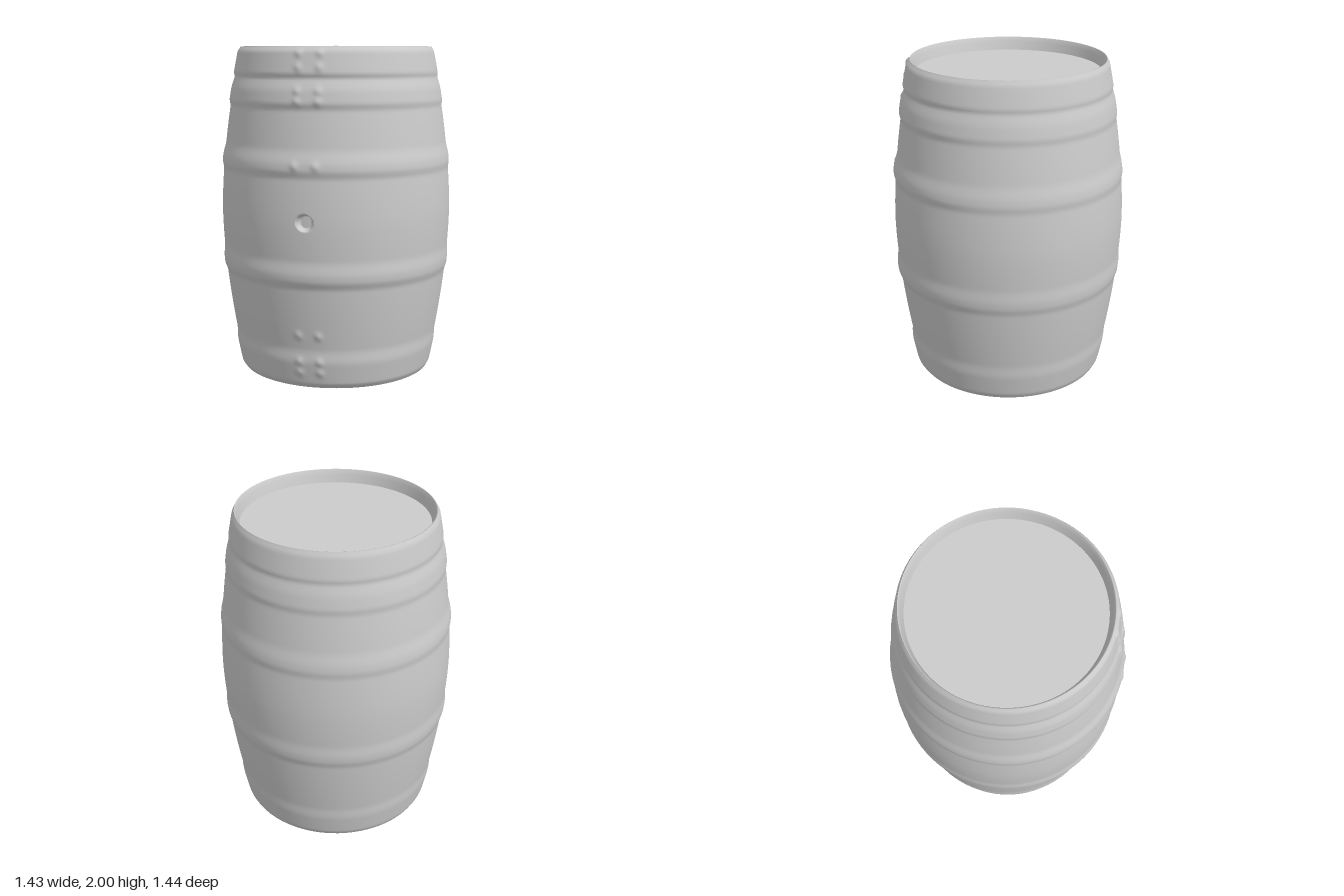
import * as THREE from 'three';
import { mergeVertices } from 'three/addons/utils/BufferGeometryUtils.js';

const SEGMENTS = 160;
const smooth = THREE.MathUtils.smoothstep;

// Stave bulge: narrow at both ends, widest at mid height
const bulge = (y) => 0.59 + 0.125 * (1 - Math.pow(Math.abs(y - 1), 1.7));

// Hoops: bottom edge, top edge, softness of each edge
const hoops = [
  [-0.2, 0.2, 0.01, 0.05],
  [0.64, 0.74, 0.03, 0.05],
  [1.28, 1.38, 0.03, 0.05],
  [1.66, 1.79, 0.025, 0.05],
  [1.83, 2.2, 0.02, 0.01],
];
const hoopHeight = (y) => hoops.reduce((h, [lo, hi, a, b]) =>
  Math.max(h, smooth(y, lo - a, lo + a) * (1 - smooth(y, hi - b, hi + b))), 0);

// Rivets on the front of the hoops
const rivets = [];
for (const y of [0.1, 0.17, 0.33, 1.33, 1.69, 1.75, 1.88, 1.96]) {
  for (const x of [-0.03, 0.09]) rivets.push([x, y]);
}

// Lathe whose columns are packed closer together at the front (+z),
// with an optional radial offset by rule
function lathe(points, offset = () => 0) {
  const geometry = new THREE.LatheGeometry(points, SEGMENTS);
  const pos = geometry.attributes.position;
  for (let i = 0; i < pos.count; i++) {
    const column = Math.floor(i / points.length);
    const p = points[i % points.length];
    const t = (column / SEGMENTS) * 2 - 1;
    const angle = Math.PI * (0.25 * t + 0.75 * t ** 3);
    const r = p.x + offset(angle, p.y, p.x);
    pos.setXYZ(i, r * Math.sin(angle), p.y, r * Math.cos(angle));
  }
  geometry.deleteAttribute('uv');
  geometry.deleteAttribute('normal');
  const merged = mergeVertices(geometry, 1e-5);
  merged.computeVertexNormals();
  return merged;
}

// Hoops, rivets and bung hole as a change of radius
function relief(angle, y, r) {
  let d = hoopHeight(y) * (0.009 + 0.007 * Math.max(0, Math.cos(angle)));
  if (Math.cos(angle) > 0.5) {
    const x = r * Math.sin(angle);
    for (const [rx, ry] of rivets) {
      d += 0.009 * Math.exp(-((x - rx) ** 2 + (y - ry) ** 2) / 0.0005);
    }
    d -= 0.045 * (1 - smooth(Math.hypot(x - 0.03, y - 1.01), 0.04, 0.05));
  }
  // fade out at the two ends so that the rims meet the shell
  return d * smooth(y, 0, 0.03) * (1 - smooth(y, 1.97, 2));
}

export function createModel() {
  const barrel = new THREE.Group();
  barrel.name = 'barrel';
  const material = new THREE.MeshStandardMaterial({ color: 0xcccccc });
  const add = (name, geometry) => {
    const mesh = new THREE.Mesh(geometry, material);
    mesh.name = name;
    barrel.add(mesh);
    return mesh;
  };

  // Outer staves with hoops, finer rows around the bung hole
  const rows = [];
  for (let y = 0; y < 1.9999; y += y > 0.94 && y < 1.08 ? 0.006 : 0.0125) {
    rows.push(new THREE.Vector2(bulge(y), y));
  }
  rows.push(new THREE.Vector2(bulge(2), 2));
  add('stavesAndHoops', lathe(rows, relief));

  // Recessed heads and bevelled inner rims at both ends
  const rim = [[0.59, 2], [0.585, 1.998], [0.575, 1.97], [0.562, 1.92]];
  const topRim = rim.map(([r, y]) => new THREE.Vector2(r, y));
  const bottomRim = rim.map(([r, y]) => new THREE.Vector2(r, 2 - y)).reverse();
  add('topRim', lathe(topRim));
  add('bottomRim', lathe(bottomRim));

  const topHead = add('topHead', new THREE.CircleGeometry(0.564, 96));
  topHead.rotation.x = -Math.PI / 2;
  topHead.position.y = 1.92;
  const bottomHead = add('bottomHead', new THREE.CircleGeometry(0.564, 96));
  bottomHead.rotation.x = Math.PI / 2;
  bottomHead.position.y = 0.08;

  return barrel;
}
